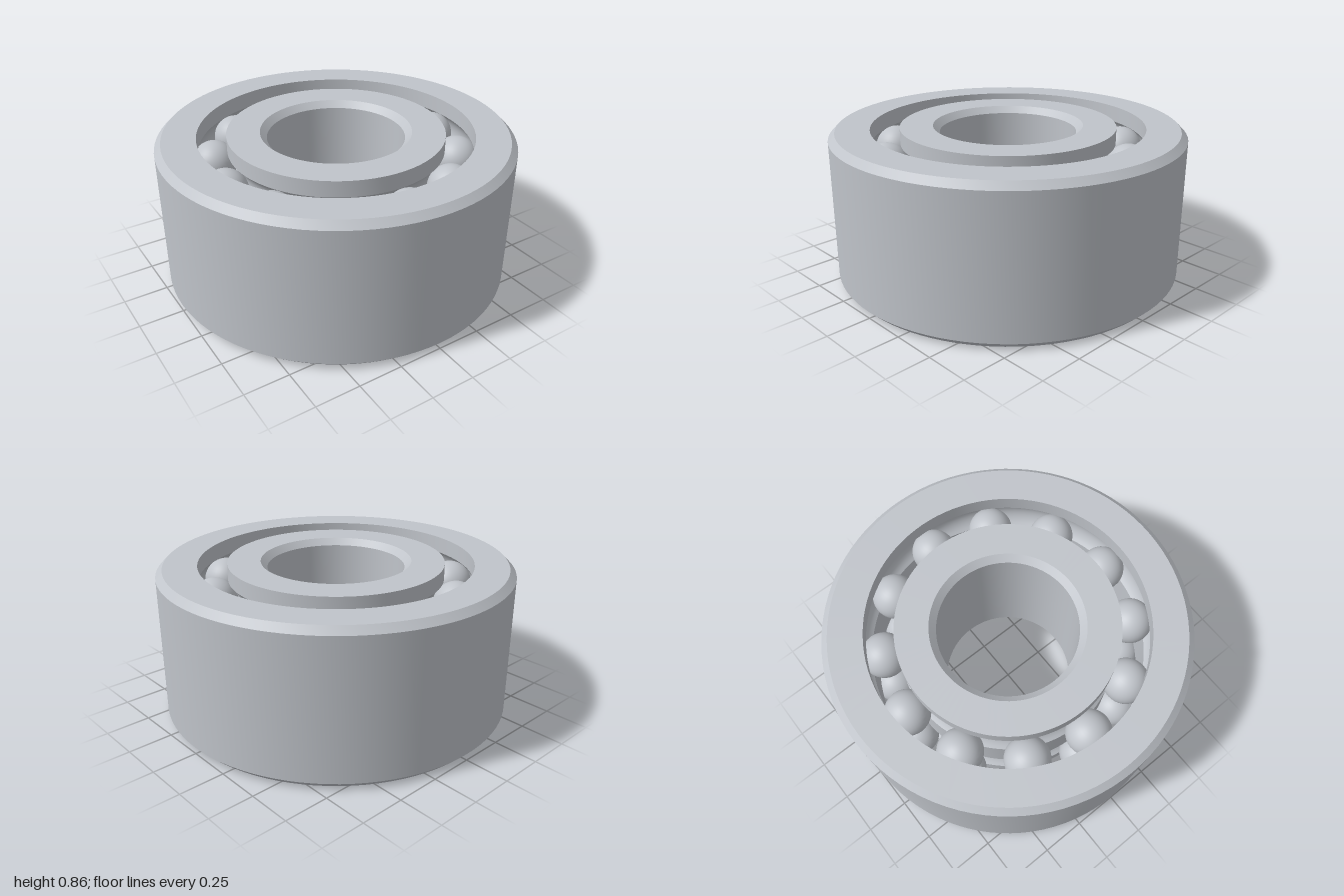
import * as THREE from 'three';
import { toCreasedNormals } from 'three/addons/utils/BufferGeometryUtils.js';

const HEIGHT = 0.855;
const CHAMFER = 0.037;
const PITCH = 0.69;            // radius of the ball circle
const BALL = 0.127;
const GROOVE = 0.129;
const ROWS = [0.193, 0.662];   // heights of the two ball rows
const BALLS_PER_ROW = 12;

// Points of a raceway groove cut into a wall at the given radius, from bottom to top
function groove(wallRadius, y) {
  const side = Math.sign(wallRadius - PITCH);
  const half = Math.acos(Math.abs(wallRadius - PITCH) / GROOVE);
  const points = [];
  for (let i = 0; i <= 12; i++) {
    const a = -half + (2 * half * i) / 12;
    points.push(new THREE.Vector2(PITCH + side * GROOVE * Math.cos(a), y + GROOVE * Math.sin(a)));
  }
  return points;
}

// Wall with both raceways, from bottom to top
function racewayWall(radius) {
  return [
    new THREE.Vector2(radius, 0),
    ...ROWS.flatMap((y) => groove(radius, y)),
    new THREE.Vector2(radius, HEIGHT),
  ];
}

// Plain wall with chamfered ends, from bottom to top; inset is the chamfer direction
function chamferedWall(radius, inset) {
  return [
    new THREE.Vector2(radius + inset, 0),
    new THREE.Vector2(radius, CHAMFER),
    new THREE.Vector2(radius, HEIGHT - CHAMFER),
    new THREE.Vector2(radius + inset, HEIGHT),
  ];
}

// Closed ring turned from its outer and inner walls
function ring(name, outerWall, innerWall, material) {
  const profile = [...outerWall, ...innerWall.reverse(), outerWall[0].clone()];
  const geometry = toCreasedNormals(new THREE.LatheGeometry(profile, 96), 0.5);
  const mesh = new THREE.Mesh(geometry, material);
  mesh.name = name;
  return mesh;
}

export function createModel() {
  const model = new THREE.Group();
  model.name = 'ballBearing';
  const steel = new THREE.MeshStandardMaterial({ color: 0xc0c4ca });
  steel.name = 'steel';

  // Outer and inner rings
  model.add(ring('outerRing', chamferedWall(1, -CHAMFER), racewayWall(0.773), steel));
  model.add(ring('innerRing', racewayWall(0.61), chamferedWall(0.387, CHAMFER), steel));

  // Two rows of balls
  const ballGeometry = new THREE.SphereGeometry(BALL, 32, 20);
  ROWS.forEach((y, row) => {
    const balls = new THREE.Group();
    balls.name = row === 0 ? 'lowerBalls' : 'upperBalls';
    for (let i = 0; i < BALLS_PER_ROW; i++) {
      const a = (i / BALLS_PER_ROW) * Math.PI * 2;
      const ball = new THREE.Mesh(ballGeometry, steel);
      ball.name = 'ball';
      ball.position.set(PITCH * Math.cos(a), y, PITCH * Math.sin(a));
      balls.add(ball);
    }
    model.add(balls);
  });

  return model;
}
